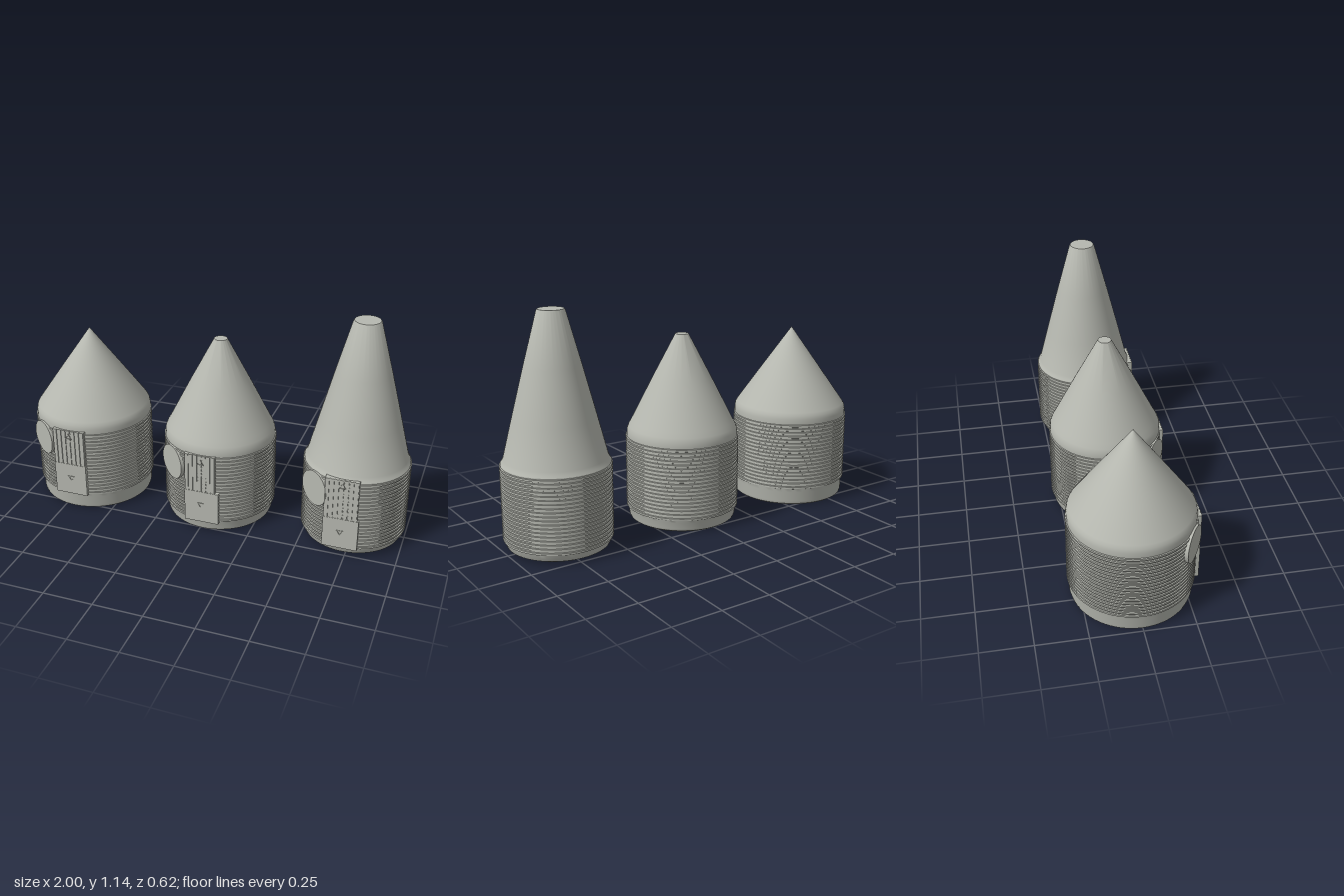
import * as THREE from 'three';
import { toCreasedNormals } from 'three/addons/utils/BufferGeometryUtils.js';

const SEGMENTS = 72;
const grey = new THREE.MeshStandardMaterial({ color: 0xb6b8b0 });
grey.name = 'warm grey';

function addMesh(parent, name, geometry, x = 0, y = 0, z = 0) {
  const mesh = new THREE.Mesh(geometry, grey);
  mesh.name = name;
  mesh.position.set(x, y, z);
  parent.add(mesh);
  return mesh;
}

// Revolved body: rounded foot, stack of grip rings, shoulder and cone
function bodyGeometry({ radius, foot, ribs, cone }) {
  const points = foot.map(([r, y]) => [r, y]);
  const [low, high] = ribs;
  const count = Math.round((high - low) / 0.02);
  const pitch = (high - low) / count;
  for (let i = 0; i < count; i++) {
    const y = low + i * pitch;
    points.push([radius - 0.005, y], [radius, y + pitch * 0.1],
      [radius, y + pitch * 0.6], [radius - 0.005, y + pitch * 0.7]);
  }
  points.push(...cone);
  const profile = points.map(([r, y]) => new THREE.Vector2(r, y));
  return toCreasedNormals(new THREE.LatheGeometry(profile, SEGMENTS), 0.5);
}

// Thin outlined triangle
function arrowGeometry(up) {
  const corners = (size) => [0, 1, 2].map((i) => {
    const a = (up ? 1 : -1) * Math.PI / 2 + i * Math.PI * 2 / 3;
    return new THREE.Vector2(Math.cos(a) * size, Math.sin(a) * size);
  });
  const shape = new THREE.Shape(corners(0.02));
  shape.holes.push(new THREE.Path(corners(0.014)));
  return new THREE.ExtrudeGeometry(shape, { depth: 0.004, bevelEnabled: false });
}

function createCap(spec) {
  const cap = new THREE.Group();
  cap.name = spec.name;
  cap.position.set(spec.x, 0, -0.003);
  addMesh(cap, 'body', bodyGeometry(spec));

  // Front label: plain lower plate, ribbed upper plate
  const { left, right, bottom, middle, top, upperRight } = spec.panel;
  const face = spec.radius + 0.004;
  const depth = 0.05;
  addMesh(cap, 'lowerPlate', new THREE.BoxGeometry(right - left, middle - bottom, depth),
    (left + right) / 2, (bottom + middle) / 2, face - depth / 2);
  const width = upperRight - left;
  addMesh(cap, 'upperPlate', new THREE.BoxGeometry(width, top - middle, depth),
    (left + upperRight) / 2, (middle + top) / 2, face - 0.006 - depth / 2);
  const bars = 7;
  for (let i = 0; i < bars; i++) {
    addMesh(cap, 'upperPlateBar', new THREE.BoxGeometry(width / bars * 0.75, top - middle, 0.01),
      left + width * (i + 0.5) / bars, (middle + top) / 2, face - 0.006);
  }
  addMesh(cap, 'upArrow', arrowGeometry(true), spec.arrowX, spec.arrows[0], face - 0.001);
  addMesh(cap, 'downArrow', arrowGeometry(false), spec.arrowX, spec.arrows[1], face - 0.001);

  // Round badge turned outward beside the label
  const a = spec.badge.angle;
  const r = spec.radius - 0.015;
  const badge = addMesh(cap, 'roundBadge', new THREE.CylinderGeometry(0.09, 0.09, 0.04, 48),
    Math.sin(a) * r, spec.badge.y, Math.cos(a) * r);
  badge.rotation.set(Math.PI / 2, 0, -a);
  return cap;
}

const caps = [
  {
    name: 'wideCap', x: -0.695, radius: 0.305,
    foot: [[0, 0], [0.282, 0], [0.29, 0.006], [0.294, 0.02], [0.294, 0.07], [0.3, 0.09]],
    ribs: [0.09, 0.45],
    cone: [[0.3, 0.45], [0.3, 0.47], [0.296, 0.49], [0.287, 0.505], [0.15, 0.7], [0, 0.912]],
    panel: { left: -0.09, right: 0.085, upperRight: 0.085, bottom: 0.09, middle: 0.265, top: 0.46 },
    arrowX: 0, arrows: [0.425, 0.185], badge: { angle: -0.59, y: 0.37 },
  },
  {
    name: 'middleCap', x: 0.02, radius: 0.287,
    foot: [[0, 0], [0.255, 0], [0.268, 0.008], [0.273, 0.02], [0.274, 0.05], [0.282, 0.065]],
    ribs: [0.065, 0.44],
    cone: [[0.282, 0.44], [0.28, 0.465], [0.272, 0.485], [0.258, 0.51], [0.15, 0.725],
      [0.033, 0.95], [0, 0.95]],
    panel: { left: -0.09, right: 0.087, upperRight: 0.07, bottom: 0.06, middle: 0.235, top: 0.44 },
    arrowX: -0.005, arrows: [0.4, 0.16], badge: { angle: -0.66, y: 0.345 },
  },
  {
    name: 'tallCap', x: 0.735, radius: 0.265,
    foot: [[0, 0], [0.13, 0], [0.132, 0.003], [0.23, 0.008], [0.246, 0.016], [0.253, 0.03], [0.26, 0.05]],
    ribs: [0.05, 0.42],
    cone: [[0.26, 0.42], [0.254, 0.43], [0.247, 0.445], [0.2, 0.63], [0.135, 0.88],
      [0.067, 1.132], [0.062, 1.14], [0, 1.14]],
    panel: { left: -0.1, right: 0.075, upperRight: 0.067, bottom: 0.05, middle: 0.215, top: 0.43 },
    arrowX: -0.013, arrows: [0.395, 0.14], badge: { angle: -0.65, y: 0.33 },
  },
];

export function createModel() {
  const model = new THREE.Group();
  model.name = 'threeConicalCaps';
  caps.forEach((spec) => model.add(createCap(spec)));
  return model;
}
